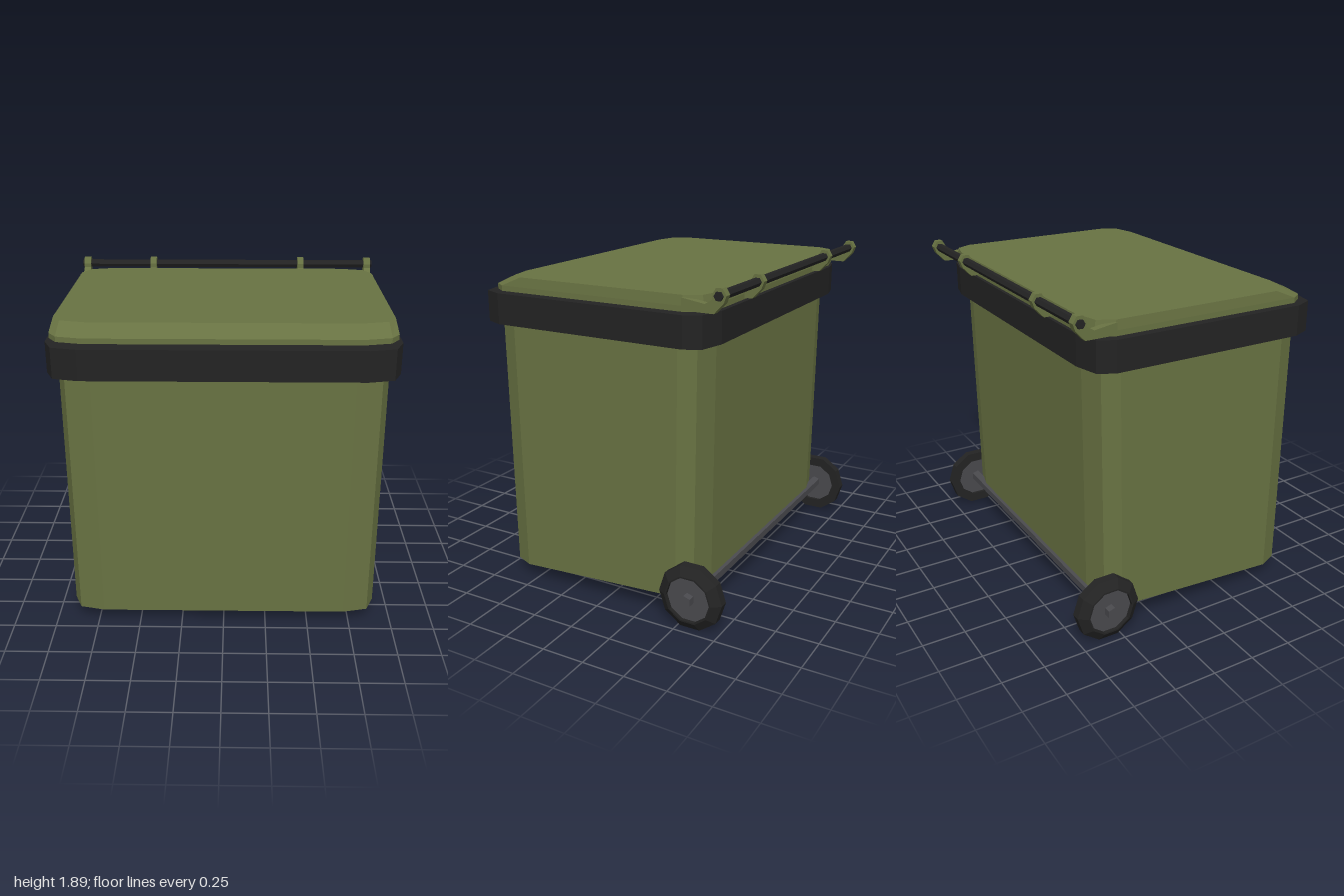
import * as THREE from 'three';

const mat = (name, color) => {
  const m = new THREE.MeshStandardMaterial({ color, flatShading: true });
  m.name = name;
  return m;
};

// Twelve-point outline with two-facet corners, front right to front left
function outline(hx, front, back, y, dFront = 0.14, dBack = 0.125) {
  const half = [
    [hx - 0.19, front], [hx - 0.047, front - 0.033], [hx, front - dFront],
    [hx, back + dBack], [hx - 0.047, back + 0.035], [hx - 0.19, back],
  ];
  const pts = [...half, ...half.slice().reverse().map(([x, z]) => [-x, z])];
  const height = typeof y === 'function' ? y : () => y;
  return pts.map(([x, z]) => [x, height(z), z]);
}

// Closed solid through a stack of outlines, capped with strips across x
function loft(rings) {
  const n = rings[0].length, index = [];
  const quad = (a, b, c, d) => index.push(a, b, c, a, c, d);
  for (let r = 0; r < rings.length - 1; r++) {
    for (let i = 0; i < n; i++) {
      const j = (i + 1) % n;
      quad(r * n + i, r * n + j, (r + 1) * n + j, (r + 1) * n + i);
    }
  }
  const top = (rings.length - 1) * n;
  for (let i = 0; i < n / 2 - 1; i++) {
    quad(top + i, top + i + 1, top + n - 2 - i, top + n - 1 - i);
    quad(n - 1 - i, n - 2 - i, i + 1, i);
  }
  const g = new THREE.BufferGeometry();
  g.setAttribute('position', new THREE.Float32BufferAttribute(rings.flat(2), 3));
  g.setIndex(index);
  const flat = g.toNonIndexed();
  flat.computeVertexNormals();
  return flat;
}

// Bracket drawn in (z, y) and extruded along x, centred on x = 0
function bracket(points, width) {
  const shape = new THREE.Shape(points.map(([z, y]) => new THREE.Vector2(-z, y)));
  const g = new THREE.ExtrudeGeometry(shape, { depth: width, bevelEnabled: false });
  g.translate(0, 0, -width / 2);
  return g.rotateY(Math.PI / 2);
}

export function createModel() {
  const green = mat('olive green plastic', 0x687242);
  const black = mat('black plastic', 0x232323);
  const grey = mat('grey metal', 0x49494d);

  const model = new THREE.Group();
  model.name = 'wheeledBin';
  const add = (name, geometry, material, x = 0, y = 0, z = 0, parent = model) => {
    const mesh = new THREE.Mesh(geometry, material);
    mesh.name = name;
    mesh.position.set(x, y, z);
    parent.add(mesh);
    return mesh;
  };

  // Body with a floor that rises toward the back
  const floor = (z) => 0.08 + Math.max(0, 0.555 - z) * 0.058;
  add('body', loft([
    outline(0.905, 0.695, -0.585, floor),
    outline(0.905, 0.707, -0.602, 1.6),
  ]), green);

  // Collar around the opening
  add('rim', loft([
    outline(0.957, 0.767, -0.657, 1.566),
    outline(0.957, 0.767, -0.657, 1.74),
  ]), black);

  // Lid with a sloping front edge
  add('lid', loft([
    outline(0.937, 0.708, -0.655, 1.752, 0.1),
    outline(0.937, 0.708, -0.655, 1.782, 0.1),
    outline(0.932, 0.592, -0.645, 1.836, 0.11),
  ]), green);

  // Hinge arms and the smaller brackets holding the handle bar
  const hook = [
    [-0.7, 1.76], [-0.752, 1.815], [-0.767, 1.855], [-0.745, 1.89],
    [-0.71, 1.89], [-0.69, 1.855], [-0.69, 1.83], [-0.65, 1.805],
  ];
  const arm = bracket([[-0.52, 1.825], [-0.52, 1.76], ...hook], 0.042);
  const clip = bracket([[-0.63, 1.805], [-0.63, 1.76], ...hook], 0.04);
  for (const s of [-1, 1]) {
    add('hingeArm', arm, green, s * 0.922);
    add('handleBracket', clip, green, s * 0.485);
  }

  // Handle bar
  const bar = new THREE.CylinderGeometry(0.025, 0.025, 1.91, 6).rotateZ(Math.PI / 2);
  add('handleBar', bar, black, 0, 1.85, -0.728);

  // Axle running through both wheels
  const axle = new THREE.CylinderGeometry(0.035, 0.035, 2, 5).rotateZ(Math.PI / 2);
  add('axle', axle, grey, 0, 0.187, -0.575);

  // Ten-sided tyres with a bevelled outer face and recessed hubs
  const tyreProfile = [
    [0.133, 0], [0.193, 0], [0.193, 0.05], [0.142, 0.085], [0.133, 0.085], [0.133, 0],
  ].map(([r, y]) => new THREE.Vector2(r, y));
  const tyre = new THREE.LatheGeometry(tyreProfile, 10);
  const hub = new THREE.CylinderGeometry(0.134, 0.134, 0.045, 10).translate(0, 0.042, 0);
  for (const s of [-1, 1]) {
    const wheel = new THREE.Group();
    wheel.name = s > 0 ? 'leftWheel' : 'rightWheel';
    wheel.position.set(s * 0.895, 0.1835, -0.575);
    wheel.rotation.z = -s * Math.PI / 2;
    add('tyre', tyre, black, 0, 0, 0, wheel);
    add('hub', hub, grey, 0, 0, 0, wheel);
    model.add(wheel);
  }
  return model;
}
